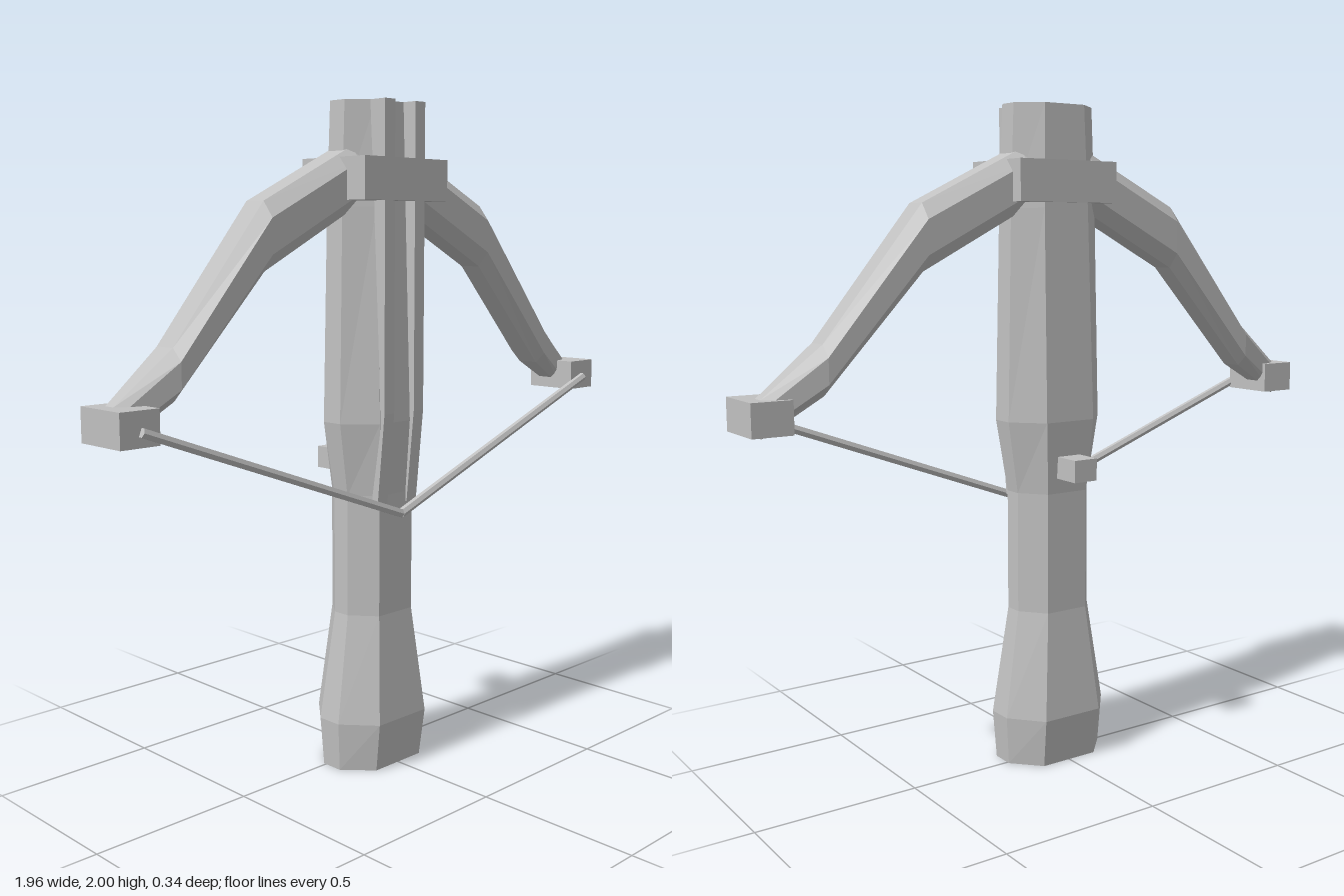
import * as THREE from 'three';

const Z = 0.027; // depth of the weapon's centre plane

// Joins equal-sized rings of points (counter-clockwise seen from the last ring) and caps both ends.
function loft(rings) {
  const pos = [];
  const tri = (a, b, c) => pos.push(...a, ...b, ...c);
  const n = rings[0].length;
  for (let r = 0; r < rings.length - 1; r++) {
    for (let i = 0; i < n; i++) {
      const j = (i + 1) % n;
      const [a, b, c, d] = [rings[r][i], rings[r][j], rings[r + 1][j], rings[r + 1][i]];
      tri(a, b, c);
      tri(a, c, d);
    }
  }
  const first = rings[0], last = rings[rings.length - 1];
  for (let i = 1; i < n - 1; i++) {
    tri(first[0], first[i + 1], first[i]);
    tri(last[0], last[i], last[i + 1]);
  }
  const g = new THREE.BufferGeometry();
  g.setAttribute('position', new THREE.Float32BufferAttribute(pos, 3));
  g.computeVertexNormals();
  return g;
}

// Chamfered rectangle: half sizes a, b and half lengths of the flats fa, fb.
const octagon = (a, b, fa, fb) => [
  [a, -fb], [a, fb], [fa, b], [-fa, b], [-a, fb], [-a, -fb], [-fa, -b], [fa, -b],
];

export function createModel() {
  const group = new THREE.Group();
  const grey = new THREE.MeshStandardMaterial({ color: 0xc0c0c0 });
  grey.name = 'grey';

  const add = (name, geometry) => {
    const mesh = new THREE.Mesh(geometry, grey);
    mesh.name = name;
    group.add(mesh);
    return mesh;
  };
  const box = (name, x0, x1, y0, y1, z0, z1) =>
    add(name, new THREE.BoxGeometry(x1 - x0, y1 - y0, z1 - z0))
      .position.set((x0 + x1) / 2, (y0 + y1) / 2, (z0 + z1) / 2);

  // Stock: y, half width, half depth, front flat, side flat
  const stock = [
    [0, 0.172, 0.117, 0.095, 0.035],
    [0.15, 0.182, 0.136, 0.1, 0.04],
    [0.48, 0.13, 0.103, 0.07, 0.028],
    [0.85, 0.13, 0.103, 0.07, 0.028],
    [1.07, 0.166, 0.12, 0.085, 0.035],
    [1.7, 0.152, 0.098, 0.078, 0.032],
    [2, 0.14, 0.088, 0.07, 0.03],
  ];
  add('stock', loft(stock.map(([y, w, d, fw, fd]) =>
    octagon(w, d, fw, fd).map(([x, z]) => [x, y, Z - z]))));

  // Twin guide rails, sloping into the stock at the lower end
  const railSide = new THREE.Shape([
    [0.08, 2], [0.08, 0.82], [0.135, 0.82], [0.163, 1.1], [0.163, 2],
  ].map(([z, y]) => new THREE.Vector2(z, y)));
  for (const x of [-0.083, 0.042]) {
    const g = new THREE.ExtrudeGeometry(railSide, { depth: 0.041, bevelEnabled: false });
    g.rotateY(-Math.PI / 2); // profile axis becomes +z, depth becomes -x
    g.translate(x + 0.041, 0, 0);
    add('guideRail', g);
  }

  // Bow: x, lower y, upper y, half depth
  const half = [
    [0.12, 1.69, 1.87, 0.073],
    [0.45, 1.52, 1.71, 0.073],
    [0.76, 1.19, 1.33, 0.07],
    [0.935, 1.085, 1.19, 0.035],
  ];
  const bow = [...half.map(([x, ...rest]) => [-x, ...rest]).reverse(), ...half];
  add('bow', loft(bow.map(([x, y0, y1, d]) => {
    const h = (y1 - y0) / 2;
    return octagon(h, d, h * 0.52, d * 0.5).map(([y, z]) => [x, (y0 + y1) / 2 + y, Z + z]);
  })));

  // Clamp holding the bow, trigger at the back
  box('clamp', -0.172, 0.172, 1.717, 1.838, -0.087, 0.172);
  box('trigger', -0.04, 0.04, 0.897, 0.964, -0.172, -0.03);

  // Tip blocks and the string running between them
  for (const s of [-1, 1]) {
    const x = s * 0.92;
    box('tipBlock', x - 0.06, x + 0.06, 1.095, 1.19, -0.035, 0.138);

    const from = new THREE.Vector3(s * 0.92, 1.135, 0.143);
    const to = new THREE.Vector3(0, 0.792, 0.153);
    const dir = to.clone().sub(from);
    const g = new THREE.CylinderGeometry(0.014, 0.014, dir.length(), 6).toNonIndexed();
    g.computeVertexNormals();
    const string = add('string', g);
    string.position.copy(from).add(to).multiplyScalar(0.5);
    string.quaternion.setFromUnitVectors(new THREE.Vector3(0, 1, 0), dir.normalize());
  }

  return group;
}
